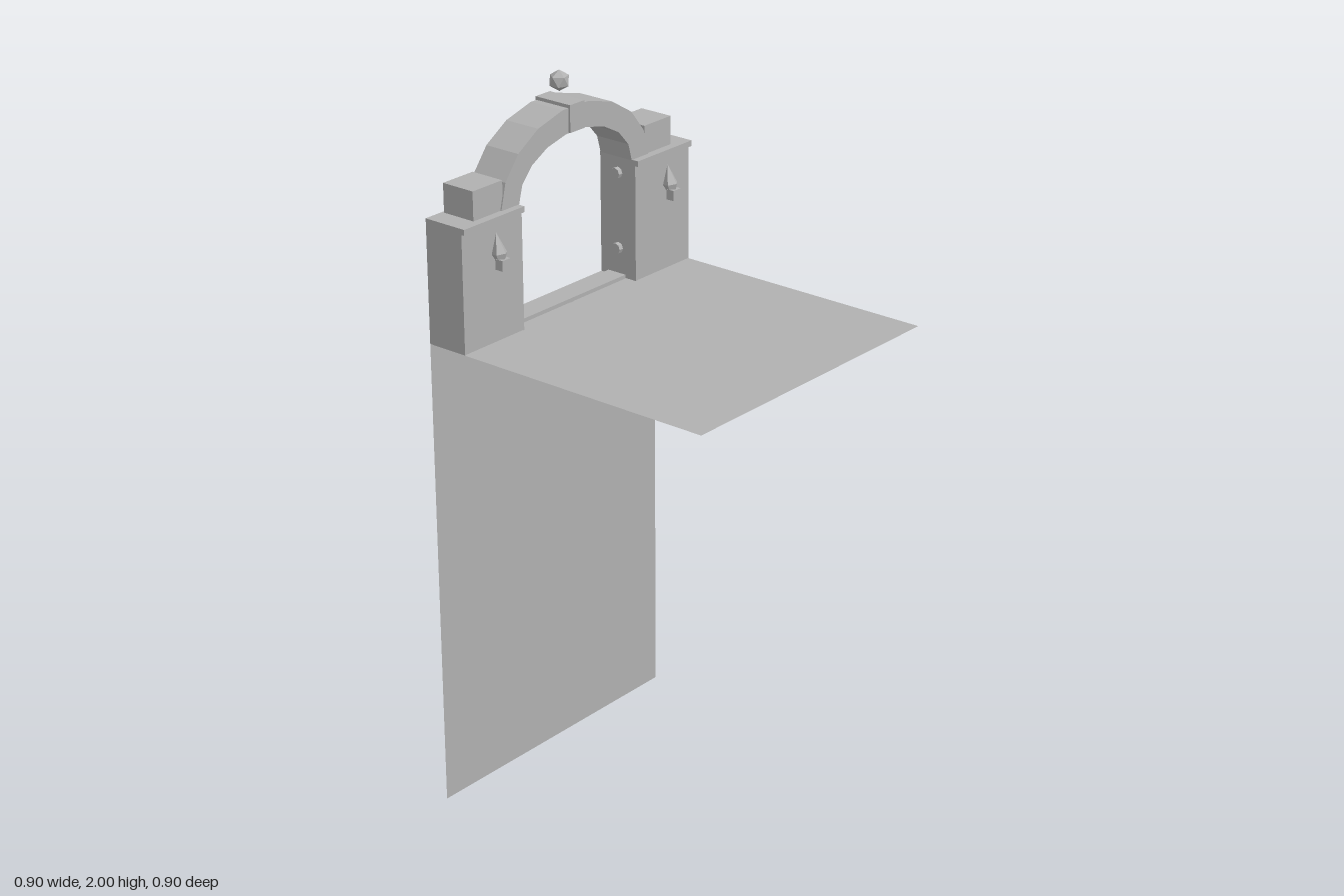
import * as THREE from 'three';

const FLOOR = 1.362, BACK = -0.45, SPRING = 1.705;

export function createModel() {
  const model = new THREE.Group();
  model.name = 'archedGateway';
  const stone = new THREE.MeshStandardMaterial({ color: 0xb0b0b0, flatShading: true, side: THREE.DoubleSide });
  stone.name = 'grey stone';

  const add = (name, geometry, x = 0, y = 0, z = 0, parent = model) => {
    const mesh = new THREE.Mesh(geometry, stone);
    mesh.name = name;
    mesh.position.set(x, y, z);
    parent.add(mesh);
    return mesh;
  };
  // box given by its limits on each axis
  const block = (name, [x0, x1], [y0, y1], [z0, z1], parent) =>
    add(name, new THREE.BoxGeometry(x1 - x0, y1 - y0, z1 - z0),
      (x0 + x1) / 2, (y0 + y1) / 2, (z0 + z1) / 2, parent);
  const flat = (name, w, d, x, y, z, parent) =>
    add(name, new THREE.PlaneGeometry(w, d).rotateX(-Math.PI / 2), x, y, z, parent);

  // Tall sheet below the gateway, and the floor in front of it
  add('backWall', new THREE.PlaneGeometry(0.9, FLOOR), 0, FLOOR / 2, BACK);
  flat('floor', 0.9, 0.9, 0, FLOOR, 0);

  // Paving: F = whole tile, V = split left/right, H = split front/back
  const paving = new THREE.Group();
  paving.name = 'paving';
  model.add(paving);
  const pitch = 0.226, tile = 0.216, gap = 0.011, half = (tile - gap) / 2, shift = (half + gap) / 2;
  ['FFFF', 'FVFH', 'FHHF', 'VHVH'].forEach((row, r) => [...row].forEach((kind, c) => {
    const x = (c - 1.5) * pitch, z = (r - 1.5) * pitch;
    const y = FLOOR + 0.001;
    if (kind === 'F') flat('tile', tile, tile, x, y, z, paving);
    else for (const s of [-1, 1]) {
      if (kind === 'V') flat('tile', half, tile, x + s * shift, y, z, paving);
      else flat('tile', tile, half, x, y, z + s * shift, paving);
    }
  }));

  // Door sill between the pillars
  block('sill', [-0.22, 0.22], [FLOOR, 1.374], [-0.42, -0.36]);

  // Pillars with cap, top block, hinge pins and wall torch
  const flame = [[0, -0.035], [0.014, -0.035], [0.021, -0.018], [0, 0.037]].map(p => new THREE.Vector2(...p));
  for (const s of [-1, 1]) {
    const side = new THREE.Group();
    side.name = s > 0 ? 'leftPillar' : 'rightPillar';
    model.add(side);
    const span = (a, b) => (s > 0 ? [a, b] : [-b, -a]);
    block('pillar', span(0.225, 0.45), [FLOOR, 1.69], [BACK, -0.327], side);
    block('pillarCap', span(0.225, 0.45), [1.69, 1.706], [BACK, -0.317], side);
    block('topBlock', span(0.28, 0.39), [1.706, 1.786], [-0.443, -0.341], side);
    for (const y of [1.66, 1.445]) {
      add('hingePin', new THREE.CylinderGeometry(0.016, 0.016, 0.014, 8).rotateZ(Math.PI / 2),
        s * 0.218, y, -0.388, side);
    }
    const torch = new THREE.Group();
    torch.name = 'torch';
    torch.position.set(s * 0.34, 1.633, -0.303);
    torch.rotation.x = -0.2;
    side.add(torch);
    add('torchHead', new THREE.LatheGeometry(flame, 5), 0, 0, 0, torch);
    block('torchBracket', span(0.325, 0.355), [1.575, 1.604], [-0.302, -0.277], side);
  }

  // Nine-sided elliptical arch ring
  const ring = new THREE.Shape(), steps = 9;
  for (let i = 0; i <= steps; i++) {
    const a = Math.PI * i / steps;
    ring[i ? 'lineTo' : 'moveTo'](0.29 * Math.cos(a), 0.212 * Math.sin(a));
  }
  for (let i = steps; i >= 0; i--) {
    const a = Math.PI * i / steps;
    ring.lineTo(0.223 * Math.cos(a), 0.143 * Math.sin(a));
  }
  ring.closePath();
  add('arch', new THREE.ExtrudeGeometry(ring, { depth: 0.11, bevelEnabled: false }), 0, SPRING, -0.447);

  // Keystone and the faceted ball above it
  block('keystone', [-0.028, 0.028], [1.848, 1.923], [BACK, -0.331]);
  const ball = new THREE.IcosahedronGeometry(0.029, 0);
  ball.rotateZ(Math.atan(2 / (1 + Math.sqrt(5))));
  add('finialBall', ball, 0, 1.971, -0.392);

  return model;
}
